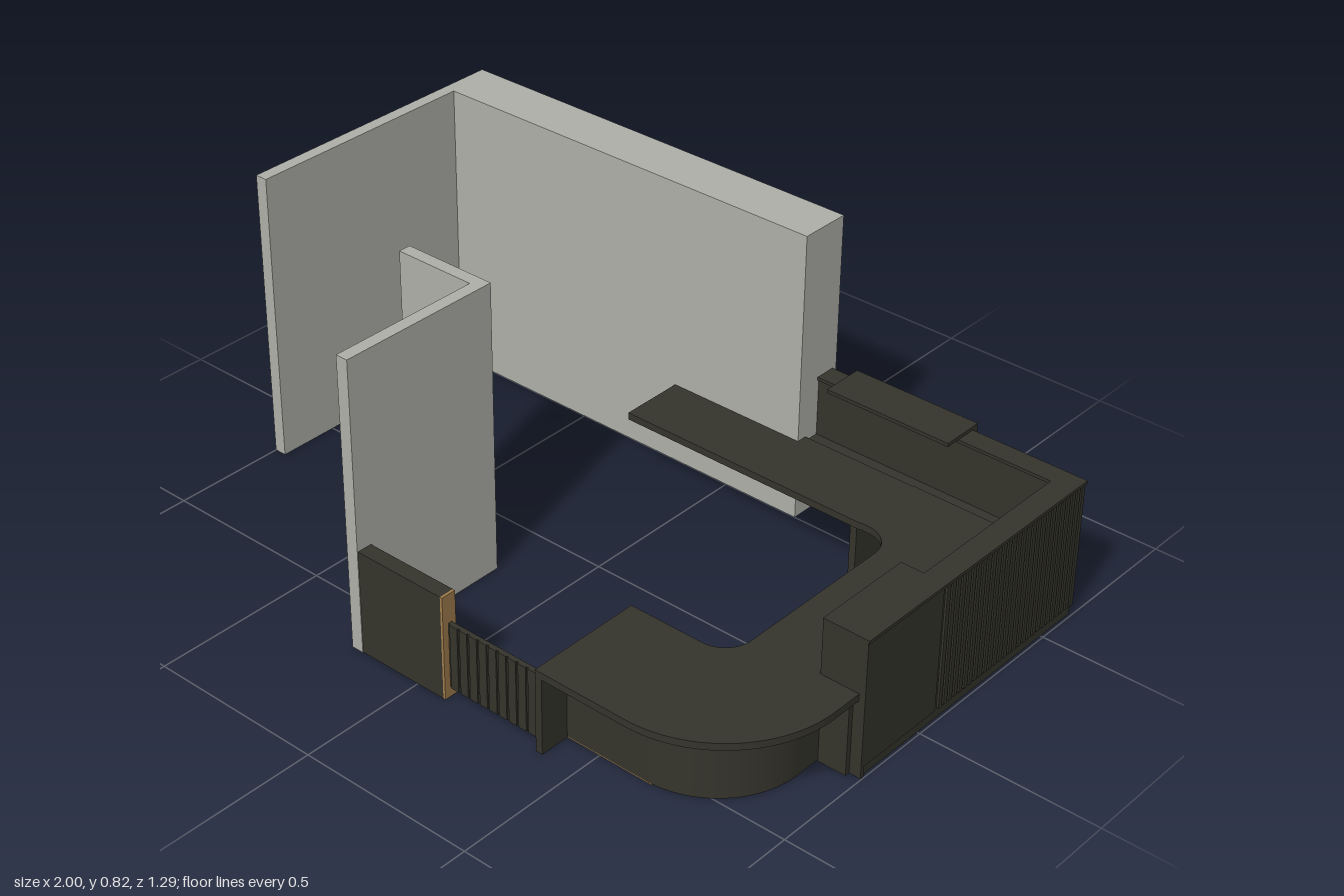
import * as THREE from 'three';

const mat = (name, color) => {
  const m = new THREE.MeshStandardMaterial({ color });
  m.name = name;
  return m;
};

export function createModel() {
  const root = new THREE.Group();
  const wall = mat('wall grey', 0xb0b0aa);
  const dark = mat('dark panel', 0x35342c);
  const wood = mat('wood edge', 0xa07c4c);

  const add = (name, geo, m, parent = root) => {
    const mesh = new THREE.Mesh(geo, m);
    mesh.name = name;
    parent.add(mesh);
    return mesh;
  };
  // Box given by its limits along each axis
  const box = (name, x0, x1, y0, y1, z0, z1, m = dark, parent = root) => {
    const g = new THREE.BoxGeometry(x1 - x0, y1 - y0, z1 - z0);
    g.translate((x0 + x1) / 2, (y0 + y1) / 2, (z0 + z1) / 2);
    return add(name, g, m, parent);
  };
  // Floor-plan shape (x, z) extruded between two heights
  const slab = (name, shape, y0, y1, m = dark) => {
    const g = new THREE.ExtrudeGeometry(shape, { depth: y1 - y0, bevelEnabled: false, curveSegments: 24 });
    g.rotateX(Math.PI / 2).translate(0, y1, 0);
    return add(name, g, m);
  };
  const group = (name) => {
    const g = new THREE.Group();
    g.name = name;
    root.add(g);
    return g;
  };

  // Room walls
  const H = 0.825;
  box('backWall', -1, 0.23, 0, H, -0.645, -0.5, wall);
  box('leftWall', -1, -0.965, 0, H, -0.5, 0.175, wall);
  box('frontWall', -0.22, -0.185, 0, H, 0.175, 0.645, wall);
  box('frontWallReturn', -0.455, -0.22, 0, H, 0.175, 0.21, wall);

  // Tall bar walls with recessed plinth and cap
  box('sidePlinth', 0.945, 0.992, 0, 0.03, -0.622, 0.22);
  box('sidePanel', 0.945, 0.992, 0.03, 0.383, -0.622, 0.22);
  box('sideFlatPanel', 0.992, 0.997, 0.03, 0.383, -0.06, 0.22);
  box('sideCap', 0.935, 1, 0.383, 0.392, -0.63, -0.065);
  box('backPlinth', 0.23, 0.945, 0, 0.03, -0.622, -0.575);
  box('backPanel', 0.23, 0.945, 0.03, 0.383, -0.622, -0.575);
  box('backCap', 0.23, 0.935, 0.383, 0.392, -0.63, -0.57);

  // Vertical slats on the outside of the tall walls
  const slats = group('slats');
  for (let z = -0.625; z < -0.07; z += 0.02) box('sideSlat', 0.992, 0.998, 0.03, 0.383, z, z + 0.013, dark, slats);
  for (let x = 0.24; x < 0.98; x += 0.02) box('backSlat', x, x + 0.013, 0.03, 0.383, -0.628, -0.622, dark, slats);

  // Raised service shelf folded over the back wall
  box('shelfTop', 0.293, 0.665, 0.392, 0.402, -0.65, -0.527);
  box('shelfDrop', 0.293, 0.665, 0.267, 0.392, -0.65, -0.63);

  // Open shelf unit at the front end of the side wall
  const unit = group('shelfUnit');
  box('unitBase', 0.875, 0.945, 0, 0.215, 0.2, 0.22, dark, unit);
  box('unitTop', 0.87, 1, 0.383, 0.392, -0.065, 0.223, dark, unit);
  box('unitFront', 0.87, 0.997, 0, 0.383, 0.21, 0.222, dark, unit);
  for (const z of [-0.065, 0.068]) box('unitDivider', 0.873, 0.945, 0.235, 0.383, z, z + 0.01, dark, unit);
  for (const y of [0.28, 0.33]) box('unitShelf', 0.876, 0.945, y, y + 0.007, -0.06, 0.215, dark, unit);

  // U-shaped worktop with a rounded outer corner
  const top = new THREE.Shape();
  top.moveTo(0.57, -0.53);
  top.lineTo(0.945, -0.53);
  top.lineTo(0.945, 0.21);
  top.lineTo(0.98, 0.21);
  top.lineTo(0.98, 0.31);
  top.absarc(0.65, 0.31, 0.33, 0, Math.PI / 2, false);
  top.lineTo(0.38, 0.64);
  top.lineTo(0.38, 0.31);
  top.lineTo(0.595, 0.31);
  top.absarc(0.595, 0.23, 0.08, Math.PI / 2, 0, true);
  top.lineTo(0.675, -0.235);
  top.absarc(0.595, -0.235, 0.08, 0, -Math.PI / 2, true);
  top.lineTo(0.57, -0.315);
  const drain = new THREE.Path();
  drain.absarc(0.905, -0.16, 0.012, 0, Math.PI * 2, true);
  const gap = new THREE.Path();
  gap.moveTo(0.9, -0.525);
  gap.lineTo(0.9, -0.27);
  gap.lineTo(0.909, -0.27);
  gap.lineTo(0.909, -0.525);
  top.holes.push(drain, gap);
  slab('worktop', top, 0.215, 0.235);

  // Back worktop wing and its support
  box('wingTop', -0.18, 0.57, 0.213, 0.233, -0.53, -0.315);
  box('wingBackLedge', 0.23, 0.9, 0.205, 0.22, -0.575, -0.53);
  box('wingSupport', 0.53, 0.55, 0, 0.213, -0.575, -0.33);

  // Tap beside the drain
  const tap = group('tap');
  const post = add('tapPost', new THREE.CylinderGeometry(0.006, 0.008, 0.05, 12), dark, tap);
  post.position.set(0.905, 0.26, -0.24);
  box('tapSpout', 0.9, 0.91, 0.28, 0.287, -0.24, -0.2, dark, tap);

  // Curved counter front set back under the worktop
  const curved = (t) => {
    const s = new THREE.Shape();
    s.moveTo(0.4, 0.555);
    s.lineTo(0.64, 0.555);
    s.absarc(0.64, 0.31, 0.245, Math.PI / 2, 0, true);
    s.lineTo(0.885, 0.225);
    s.lineTo(0.885 - t, 0.225);
    s.lineTo(0.885 - t, 0.31);
    s.absarc(0.64, 0.31, 0.245 - t, 0, Math.PI / 2, false);
    s.lineTo(0.4, 0.555 - t);
    return s;
  };
  slab('curvedFront', curved(0.02), 0.003, 0.215);
  box('curvedFrontWoodEdge', 0.4, 0.66, 0, 0.003, 0.535, 0.555, wood);
  box('counterEndFin', 0.38, 0.4, 0, 0.215, 0.315, 0.64);
  box('counterSideFin', 0.88, 0.965, 0, 0.215, 0.222, 0.236);

  // Slatted gate
  const gate = group('gate');
  box('gatePanel', 0.093, 0.38, 0.03, 0.215, 0.615, 0.626, dark, gate);
  for (let x = 0.1; x < 0.37; x += 0.031) box('gateBoard', x, x + 0.024, 0.03, 0.215, 0.626, 0.63, dark, gate);

  // Gate post block with wood edge
  box('gateBlock', -0.185, 0.085, 0, 0.295, 0.6, 0.643);
  box('gateBlockWoodEdge', 0.085, 0.092, 0, 0.295, 0.6, 0.643, wood);

  return root;
}
